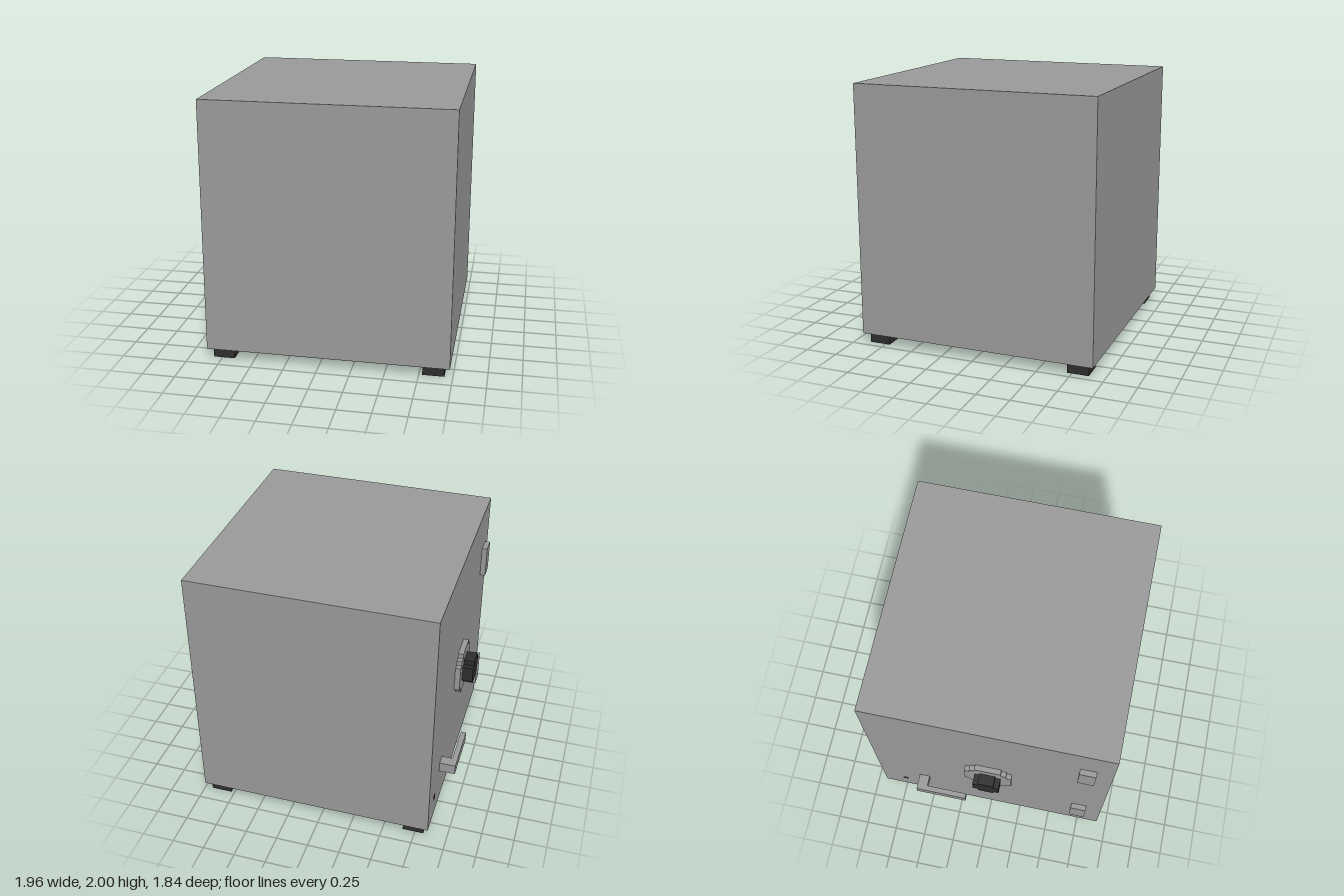
import * as THREE from 'three';

const U = 2 / 49; // block unit the whole safe is built on

export function createModel() {
  const group = new THREE.Group();
  group.name = 'safe';
  const steel = new THREE.MeshStandardMaterial({ color: 0x999999 });
  steel.name = 'grey steel';
  const black = new THREE.MeshStandardMaterial({ color: 0x2d2d2d });
  black.name = 'black rubber';

  // Box between two corners, measured in block units
  function box(name, mat, [x0, y0, z0], [x1, y1, z1]) {
    const geo = new THREE.BoxGeometry((x1 - x0) * U, (y1 - y0) * U, (z1 - z0) * U);
    const mesh = new THREE.Mesh(geo, mat);
    mesh.name = name;
    mesh.position.set((x0 + x1) * U / 2, (y0 + y1) * U / 2, (z0 + z1) * U / 2);
    group.add(mesh);
  }

  // Stepped disc facing -x: steps are [half width, half height], widest first
  function steppedDisc(name, mat, x0, x1, steps) {
    const corner = [...steps, ...steps.slice(0, -1).map(([w], i) => [steps[i + 1][0], steps[i][1]])]
      .sort((a, b) => b[0] - a[0] || a[1] - b[1]);
    const flip = corner.slice().reverse();
    const outline = [
      ...corner,
      ...flip.map(([w, h]) => [-w, h]),
      ...corner.map(([w, h]) => [-w, -h]),
      ...flip.map(([w, h]) => [w, -h]),
    ];
    const shape = new THREE.Shape(outline.map(([w, h]) => new THREE.Vector2(w * U, h * U)));
    const geo = new THREE.ExtrudeGeometry(shape, { depth: (x1 - x0) * U, bevelEnabled: false });
    geo.rotateY(-Math.PI / 2);
    const mesh = new THREE.Mesh(geo, mat);
    mesh.name = name;
    mesh.position.set(x1 * U, 24.5 * U, 0);
    group.add(mesh);
  }

  // Cabinet, door side at -x
  box('cabinet', steel, [-21, 2, -22.5], [24, 49, 22.5]);

  // Four feet
  for (const x of [-20, 19])
    for (const z of [-21.5, 17.5]) box('foot', black, [x, 0, z], [x + 4, 2, z + 4]);

  // Door hinges
  for (const y of [8, 35]) box('hinge', steel, [-22, y, 16.5], [-21, y + 6, 19.5]);

  // Combination dial
  steppedDisc('dialPlate', steel, -22, -21, [[4.5, 2.5], [3.5, 3.5], [2.5, 4.5]]);
  steppedDisc('dialKnob', black, -24, -22, [[2.5, 1.5], [1.5, 2.5]]);

  // Door handle: post and grip
  box('handlePost', steel, [-23, 10, -14.5], [-21, 12, -12.5]);
  box('handleGrip', steel, [-24, 10, -14.5], [-23, 12, -4.5]);

  // Keyhole
  box('keyhole', black, [-21.05, 6, -18.5], [-21, 7, -17.5]);

  return group;
}
